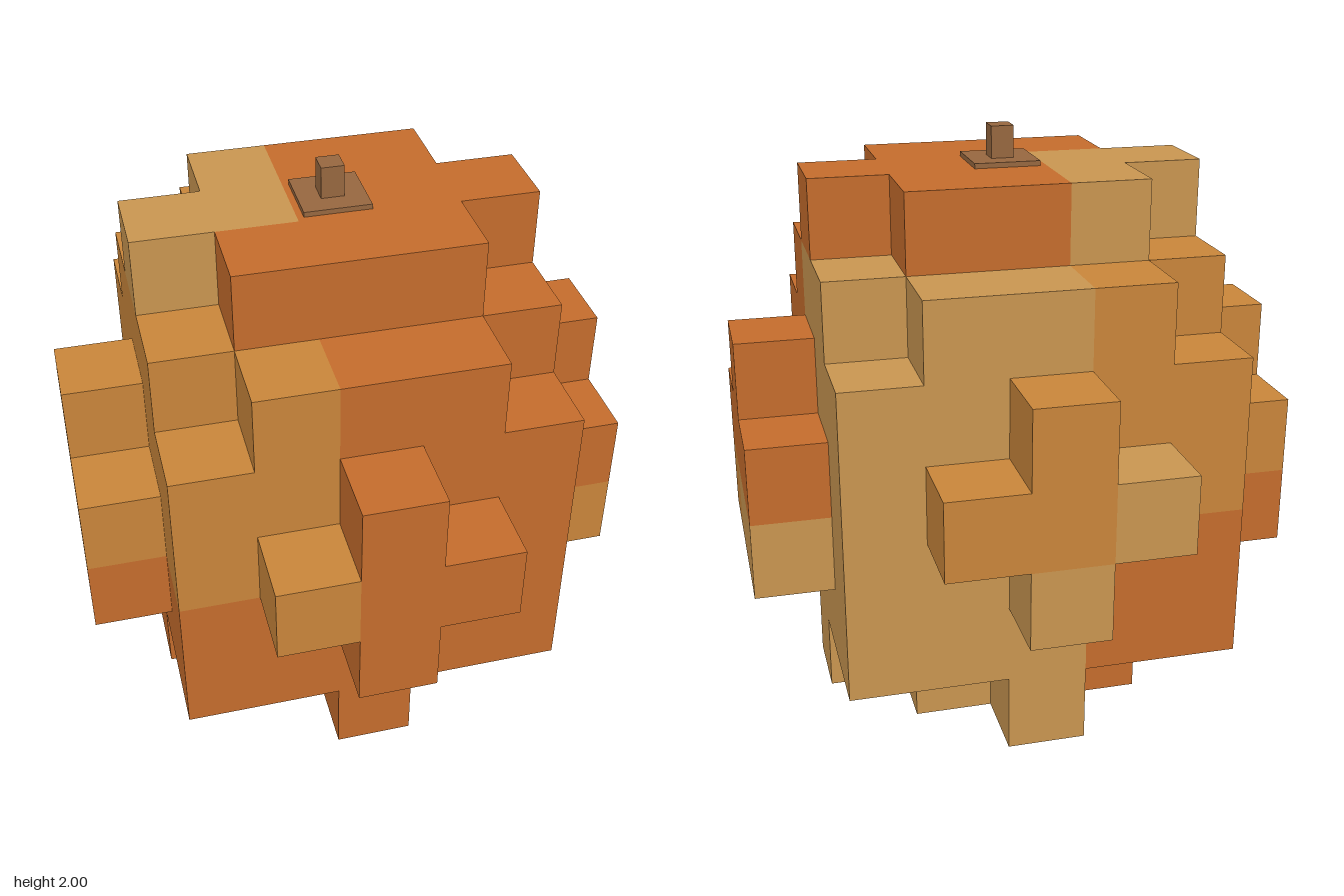
import * as THREE from 'three';

const CELL = 1.875 / 7; // edge of one cube; x and z run -3..3, y runs 0..6

function makeMaterial(name, color) {
  const material = new THREE.MeshStandardMaterial({ color });
  material.name = name;
  return material;
}

export function createModel() {
  const model = new THREE.Group();
  model.name = 'blockyPumpkin';

  const orange = makeMaterial('orange', 0xc46c2c);
  const ochre = makeMaterial('ochre', 0xc8853a);
  const tan = makeMaterial('tan', 0xc89550);
  const brown = makeMaterial('stemBrown', 0x96673f);

  function part(name) {
    const group = new THREE.Group();
    group.name = name;
    model.add(group);
    return group;
  }

  // One box covering an inclusive range of cells
  function box(group, material, [x0, x1], [y0, y1], [z0, z1]) {
    const mesh = new THREE.Mesh(
      new THREE.BoxGeometry((x1 - x0 + 1) * CELL, (y1 - y0 + 1) * CELL, (z1 - z0 + 1) * CELL),
      material
    );
    mesh.position.set(((x0 + x1) / 2) * CELL, ((y0 + y1 + 1) / 2) * CELL, ((z0 + z1) / 2) * CELL);
    mesh.name = `${group.name}Block`;
    group.add(mesh);
  }

  // Patch colour of the skin by region
  function skin(x, y, z) {
    if (x < 0) return y > 2 ? ochre : orange;
    return z > 0 ? orange : tan;
  }

  // Cut a cell range in two where a colour region starts
  function split([a, b], start) {
    return a < start && b >= start ? [[a, start - 1], [start, b]] : [[a, b]];
  }

  // A range of cells coloured by the skin regions
  function block(group, xs, ys, zs) {
    for (const x of split(xs, 0))
      for (const y of split(ys, 3))
        for (const z of split(zs, 1)) box(group, skin(x[0], y[0], z[0]), x, y, z);
  }

  // Base: stepped diamond
  const base = part('base');
  for (let z = -2; z <= 2; z++) {
    const reach = 2 - Math.abs(z);
    block(base, [-reach, reach], [0, 0], [z, z]);
  }

  // Body
  block(part('body'), [-2, 2], [1, 4], [-2, 2]);

  // Shoulder: square layer without its corners
  const shoulder = part('shoulder');
  block(shoulder, [-2, 2], [5, 5], [-1, 1]);
  for (const z of [-2, 2]) block(shoulder, [-1, 1], [5, 5], [z, z]);

  // Crown: 3 x 3 layer with an arm on each side
  const crown = part('crown');
  box(crown, orange, [-1, 1], [6, 6], [1, 1]);
  box(crown, orange, [0, 1], [6, 6], [-1, 0]);
  box(crown, orange, [2, 2], [6, 6], [0, 0]);
  box(crown, tan, [-1, -1], [6, 6], [-1, 0]);
  box(crown, tan, [-2, -2], [6, 6], [0, 0]);

  // Front bulge: plus shape
  const front = part('frontBulge');
  box(front, orange, [0, 0], [2, 4], [3, 3]);
  box(front, orange, [1, 1], [3, 3], [3, 3]);
  box(front, ochre, [-1, -1], [3, 3], [3, 3]);

  // Back bulge: plus shape
  const back = part('backBulge');
  box(back, ochre, [0, 0], [3, 4], [-3, -3]);
  box(back, ochre, [1, 1], [3, 3], [-3, -3]);
  box(back, tan, [-1, -1], [3, 3], [-3, -3]);
  box(back, tan, [0, 0], [2, 2], [-3, -3]);

  // Side bulges: two full rows with one cube above
  const left = part('leftBulge');
  box(left, orange, [3, 3], [4, 4], [0, 0]);
  box(left, orange, [3, 3], [3, 3], [-1, 1]);
  box(left, ochre, [3, 3], [2, 2], [1, 1]);
  box(left, tan, [3, 3], [2, 2], [-1, 0]);

  const right = part('rightBulge');
  box(right, ochre, [-3, -3], [4, 4], [0, 0]);
  box(right, ochre, [-3, -3], [3, 3], [-1, 1]);
  box(right, orange, [-3, -3], [2, 2], [-1, 1]);

  // Stem on a thin square plate
  const stem = part('stem');
  for (const [name, width, y0, y1] of [
    ['stemPlate', 0.225, 1.875, 1.892],
    ['stemPost', 0.077, 1.892, 2],
  ]) {
    const mesh = new THREE.Mesh(new THREE.BoxGeometry(width, y1 - y0, width), brown);
    mesh.name = name;
    mesh.position.y = (y0 + y1) / 2;
    stem.add(mesh);
  }

  return model;
}
